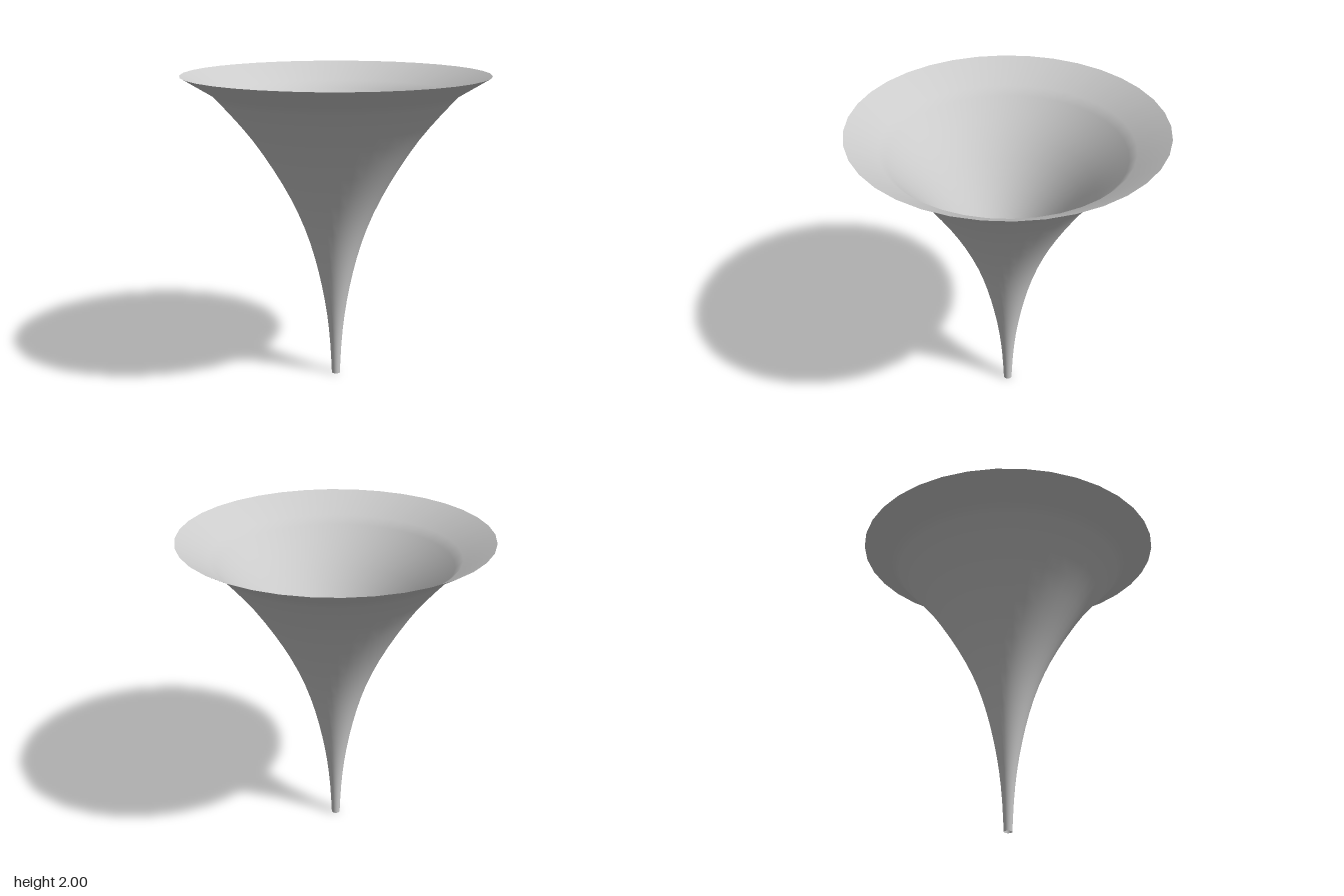
import * as THREE from 'three';

export function createModel() {
  const group = new THREE.Group();
  group.name = 'horn';

  // Radius and height along the flare, from the throat up to just below the mouth
  const flare = new THREE.SplineCurve([
    [0.027, 0], [0.037, 0.2], [0.057, 0.4], [0.091, 0.6], [0.138, 0.8], [0.203, 1],
    [0.293, 1.2], [0.407, 1.4], [0.542, 1.6], [0.675, 1.76], [0.785, 1.88],
  ].map(([r, y]) => new THREE.Vector2(r, y)));

  // The last band to the mouth is straight
  const profile = [...flare.getPoints(20), new THREE.Vector2(0.985, 2)];

  // Thin open shell, smooth, 36 sides
  const bell = new THREE.Mesh(
    new THREE.LatheGeometry(profile, 36),
    new THREE.MeshStandardMaterial({ color: 0xcccccc, side: THREE.DoubleSide })
  );
  bell.name = 'flaredBell';
  group.add(bell);
  return group;
}
